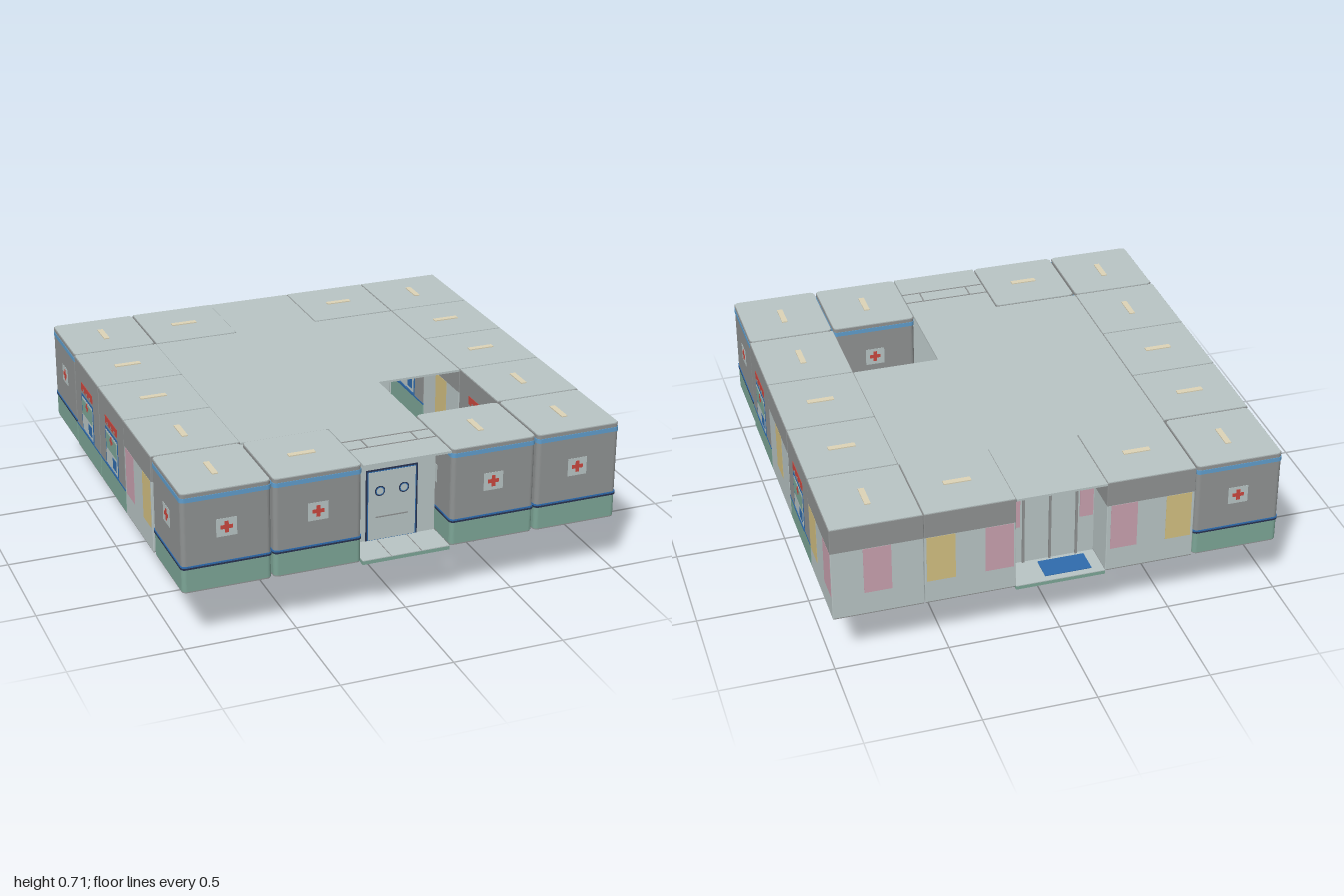
import * as THREE from 'three';

const mat = (name, color) => {
  const m = new THREE.MeshStandardMaterial({ color });
  m.name = name;
  return m;
};

export function createModel() {
  const M = {
    light: mat('pale panel', 0xb8c4c4), grey: mat('wall grey', 0x8f9292),
    green: mat('base green', 0x7ca596), navy: mat('navy', 0x28324f),
    blue: mat('blue', 0x2f6bac), sky: mat('light blue', 0x5f9dcc),
    red: mat('red', 0xc9473e), yellow: mat('yellow', 0xd2bf80),
    pink: mat('pink', 0xc8a0ae), tan: mat('handle tan', 0xdcd3b6),
  };
  const root = new THREE.Group();
  root.name = 'modularBuilding';

  // Box given by its limits
  const box = (parent, name, m, x0, x1, y0, y1, z0, z1) => {
    const mesh = new THREE.Mesh(new THREE.BoxGeometry(x1 - x0, y1 - y0, z1 - z0), m);
    mesh.position.set((x0 + x1) / 2, (y0 + y1) / 2, (z0 + z1) / 2);
    mesh.name = name;
    parent.add(mesh);
  };
  // Horizontal plate from an x/z outline, with optional holes
  const plate = (parent, name, m, shape, y0, y1) => {
    const g = new THREE.ExtrudeGeometry(shape, { depth: y1 - y0, bevelEnabled: false, curveSegments: 4 });
    g.rotateX(Math.PI / 2);
    const mesh = new THREE.Mesh(g, m);
    mesh.position.y = y1;
    mesh.name = name;
    parent.add(mesh);
  };
  const outline = (pts) => new THREE.Shape(pts.map(([x, z]) => new THREE.Vector2(x, z)));
  const rect = (x0, x1, z0, z1) => outline([[x0, z0], [x1, z0], [x1, z1], [x0, z1]]);
  const roundSquare = (w, r) => {
    const h = w / 2, s = new THREE.Shape();
    s.absarc(h - r, h - r, r, 0, Math.PI / 2);
    s.absarc(r - h, h - r, r, Math.PI / 2, Math.PI);
    s.absarc(r - h, r - h, r, Math.PI, Math.PI * 1.5);
    s.absarc(h - r, r - h, r, Math.PI * 1.5, Math.PI * 2);
    return s;
  };
  // Thin detail on a wall face: u across, y up, layered outward
  const detail = (face, name, m, u0, u1, y0, y1, layer = 1) =>
    box(face, name, m, u0, u1, y0, y1, 0, 0.0012 * layer);

  const redCross = (face, y, s, layer) => {
    detail(face, 'crossBar', M.red, -s, s, y - s / 3, y + s / 3, layer);
    detail(face, 'crossPost', M.red, -s / 3, s / 3, y - s, y + s, layer);
  };
  const emblem = (face) => {
    detail(face, 'emblemPlate', M.light, -0.045, 0.045, 0.49, 0.572, 1);
    redCross(face, 0.532, 0.026, 2);
  };
  const serviceWindow = (face) => {
    detail(face, 'signBoard', M.red, -0.092, 0.092, 0.578, 0.616, 2);
    for (const u of [-0.05, 0, 0.05]) detail(face, 'signLamp', M.grey, u - 0.009, u + 0.009, 0.582, 0.592, 3);
    detail(face, 'windowFrame', M.blue, -0.097, 0.097, 0.372, 0.562, 1);
    detail(face, 'windowPane', M.light, -0.086, 0.086, 0.385, 0.55, 2);
    detail(face, 'windowBlind', M.green, -0.082, 0.082, 0.465, 0.54, 3);
    redCross(face, 0.522, 0.02, 4);
    detail(face, 'windowHatch', M.blue, 0.015, 0.07, 0.4, 0.45, 3);
    detail(face, 'windowSill', M.blue, -0.097, 0.097, 0.372, 0.382, 4);
  };
  const colourPanels = (list) => (face) => {
    for (const [m, u0, u1] of list) detail(face, 'colourPanel', M[m], u0, u1, 0.367, 0.588, 1);
  };
  const YP = colourPanels([['yellow', -0.19, -0.065], ['pink', 0.065, 0.19]]);
  const PY = colourPanels([['pink', -0.18, -0.06], ['yellow', 0.07, 0.185]]);
  const Y = colourPanels([['yellow', -0.06, 0.06]]);
  const P = colourPanels([['pink', -0.06, 0.06]]);

  const F = 0, R = Math.PI / 2, B = Math.PI, L = -Math.PI / 2;

  // One room unit: kind, position, handle direction, decorated faces
  const unit = (kind, x, z, handleAlongX, faces) => {
    const g = new THREE.Group();
    g.name = kind + 'Unit';
    g.position.set(x, 0, z);
    const w = kind === 'ward' ? 0.39 : 0.396;
    const sq = (s) => roundSquare(s, kind === 'ward' ? 0.02 : 0.003);
    plate(g, 'underside', M.grey, sq(w - 0.004), 0.256, 0.264);
    plate(g, 'undersidePanel', M.light, sq(0.29), 0.253, 0.256);
    if (kind === 'panel') {
      plate(g, 'lowerWall', M.light, sq(w), 0.262, 0.59);
      plate(g, 'upperWall', M.grey, sq(w + 0.002), 0.59, 0.7);
    } else {
      plate(g, 'baseWall', M.green, sq(w), 0.262, 0.37);
      plate(g, 'upperWall', M.grey, sq(w), 0.37, 0.7);
      if (kind === 'ward') {
        plate(g, 'lowerStripe', M.navy, sq(w + 0.006), 0.364, 0.372);
        plate(g, 'lowerStripeTop', M.blue, sq(w + 0.006), 0.372, 0.379);
        plate(g, 'upperStripe', M.sky, sq(w + 0.004), 0.668, 0.688);
      } else plate(g, 'lowerStripe', M.blue, sq(w + 0.003), 0.366, 0.374);
    }
    plate(g, 'roofEdge', M.grey, sq(w + 0.002), 0.7, 0.704);
    plate(g, 'roof', M.light, sq(w - 0.004), 0.704, 0.708);
    const hx = handleAlongX ? 0.06 : 0.013, hz = handleAlongX ? 0.013 : 0.06;
    box(g, 'roofHandle', M.tan, -hx, hx, 0.706, 0.713, -hz, hz);
    for (const [angle, decorate] of faces) {
      const face = new THREE.Group();
      face.name = 'wallFace';
      face.rotation.y = angle;
      face.position.set(Math.sin(angle) * w / 2, 0, Math.cos(angle) * w / 2);
      decorate(face);
      g.add(face);
    }
    root.add(g);
  };
  const all = (d) => [F, R, B, L].map((a) => [a, d]);
  const sides = [[R, serviceWindow], [L, serviceWindow]];
  unit('ward', -0.8, 0.8, false, all(emblem));
  unit('ward', -0.4, 0.8, true, all(emblem));
  unit('ward', 0.4, 0.8, false, all(emblem));
  unit('ward', 0.8, 0.8, false, all(emblem));
  unit('ward', -0.8, -0.8, false, all(emblem));
  unit('service', 0.8, 0.4, false, sides);
  unit('service', 0.8, -0.4, true, sides);
  unit('service', -0.8, -0.4, true, sides);
  unit('service', -0.8, 0, true, sides);
  unit('panel', 0.8, 0, true, [[R, Y], [L, Y]]);
  unit('panel', -0.8, 0.4, false, [[L, PY], [R, YP]]);
  unit('panel', 0.8, -0.8, false, [[R, YP], [B, P]]);
  unit('panel', 0.4, -0.8, true, [[B, YP], [F, PY]]);
  unit('panel', -0.4, -0.8, true, [[B, PY], [F, YP]]);

  // Floor: cross-shaped slab with a stair opening
  const floorShape = () => {
    const s = outline([[-0.6, -0.6], [-0.2, -0.6], [-0.2, -1], [0.2, -1], [0.2, -0.6], [0.6, -0.6],
      [0.6, 0.6], [0.2, 0.6], [0.2, 1], [-0.2, 1], [-0.2, 0.6], [-0.6, 0.6]]);
    s.holes.push(rect(0.275, 0.525, 0.215, 0.54));
    return s;
  };
  plate(root, 'floorSlab', M.green, floorShape(), 0.242, 0.258);
  plate(root, 'floorCovering', M.light, floorShape(), 0.258, 0.262);
  box(root, 'stairSideFloor', M.green, 0.535, 0.6, 0.26, 0.264, 0.2, 0.6);
  box(root, 'corridorMat', M.blue, 0, 0.15, 0.26, 0.265, -0.48, -0.25);
  box(root, 'backMat', M.blue, -0.15, 0.06, 0.26, 0.265, -0.97, -0.86);
  for (const x of [-0.07, 0.07]) box(root, 'frontTileJoint', M.grey, x - 0.002, x + 0.002, 0.26, 0.263, 0.84, 1);

  // Roof over the corridors and entrances, open above the stairs
  const roofShape = outline([[-0.6, -0.6], [-0.2, -0.6], [-0.2, -1], [0.2, -1], [0.2, -0.6], [0.6, -0.6],
    [0.6, 0.2], [0.2, 0.2], [0.2, 0.998], [-0.2, 0.998], [-0.2, 0.6], [-0.6, 0.6]]);
  plate(root, 'corridorRoof', M.light, roofShape, 0.695, 0.705);
  for (const z of [0.755, 0.838]) box(root, 'roofSeam', M.grey, -0.2, 0.2, 0.704, 0.707, z - 0.003, z + 0.003);
  for (const x of [-0.115, 0.115]) box(root, 'roofSeam', M.grey, x - 0.003, x + 0.003, 0.704, 0.707, 0.755, 0.838);

  // Front entrance with a framed double door
  box(root, 'frontWall', M.light, -0.2, 0.2, 0.26, 0.696, 0.755, 0.835);
  const door = new THREE.Group();
  door.name = 'frontDoor';
  door.position.z = 0.835;
  root.add(door);
  detail(door, 'doorFrame', M.navy, -0.122, 0.118, 0.262, 0.595, 2);
  detail(door, 'doorFrameEdge', M.blue, -0.115, 0.111, 0.262, 0.588, 3);
  detail(door, 'doorLeaf', M.light, -0.111, 0.107, 0.264, 0.584, 4);
  detail(door, 'pushBar', M.grey, -0.077, 0.073, 0.367, 0.373, 5);
  for (const x of [-0.058, 0.053]) {
    for (const [name, m, r, z] of [['portholeRim', M.navy, 0.024, 0.0055], ['portholeRing', M.blue, 0.02, 0.0062],
      ['portholeGlass', M.light, 0.016, 0.0069]]) {
      const disc = new THREE.Mesh(new THREE.CircleGeometry(r, 20), m);
      disc.position.set(x, 0.493, z);
      disc.name = name;
      door.add(disc);
    }
  }

  // Back entrance: recessed wall with posts and side panels
  box(root, 'backWall', M.light, -0.2, 0.2, 0.26, 0.696, -0.84, -0.76);
  for (const x of [-0.12, 0, 0.12]) box(root, 'backDoorPost', M.grey, x - 0.005, x + 0.005, 0.262, 0.6, -0.848, -0.84);
  box(root, 'backDoorHead', M.grey, -0.125, 0.125, 0.59, 0.6, -0.848, -0.84);
  for (const s of [-1, 1]) box(root, 'backSidePanel', M.pink, s * 0.165 - 0.03, s * 0.165 + 0.03, 0.45, 0.59, -0.846, -0.84);

  // Stairs down to the ground, open to the front and beneath
  const stairs = new THREE.Group();
  stairs.name = 'stairs';
  root.add(stairs);
  for (const x of [0.262, 0.525]) box(stairs, 'stairSide', M.navy, x, x + 0.012, 0, 0.272, 0.208, 0.543);
  box(stairs, 'stairBack', M.navy, 0.262, 0.537, 0, 0.272, 0.206, 0.216);
  const step = (name, m, size, y, z, flat) => {
    const mesh = new THREE.Mesh(new THREE.PlaneGeometry(0.251, size), m);
    if (flat) mesh.rotation.x = -Math.PI / 2;
    mesh.position.set(0.3995, y, z);
    mesh.name = name;
    stairs.add(mesh);
  };
  const rise = 0.025, run = 0.0324;
  for (let i = 0; i < 10; i++) {
    const y = i * rise, z = 0.54 - i * run;
    step('riserBase', M.green, 0.009, y + 0.0045, z, false);
    step('riser', M.light, 0.016, y + 0.017, z, false);
    step('nosing', M.green, 0.008, y + rise, z - 0.004, true);
    step('tread', M.light, run - 0.008, y + rise, z - 0.004 - run / 2, true);
  }
  const post = new THREE.Mesh(new THREE.CylinderGeometry(0.02, 0.02, 0.05, 16), M.grey);
  post.position.set(0.497, 0.275, 0.25);
  post.name = 'stairPost';
  stairs.add(post);

  // Service tray hung below the floor
  box(root, 'serviceTray', M.grey, -0.56, -0.24, 0.211, 0.214, 0.22, 0.55);
  for (const x of [-0.51, -0.44, -0.37]) box(root, 'trayHanger', M.grey, x - 0.003, x + 0.003, 0.213, 0.244, 0.38, 0.386);

  return root;
}
